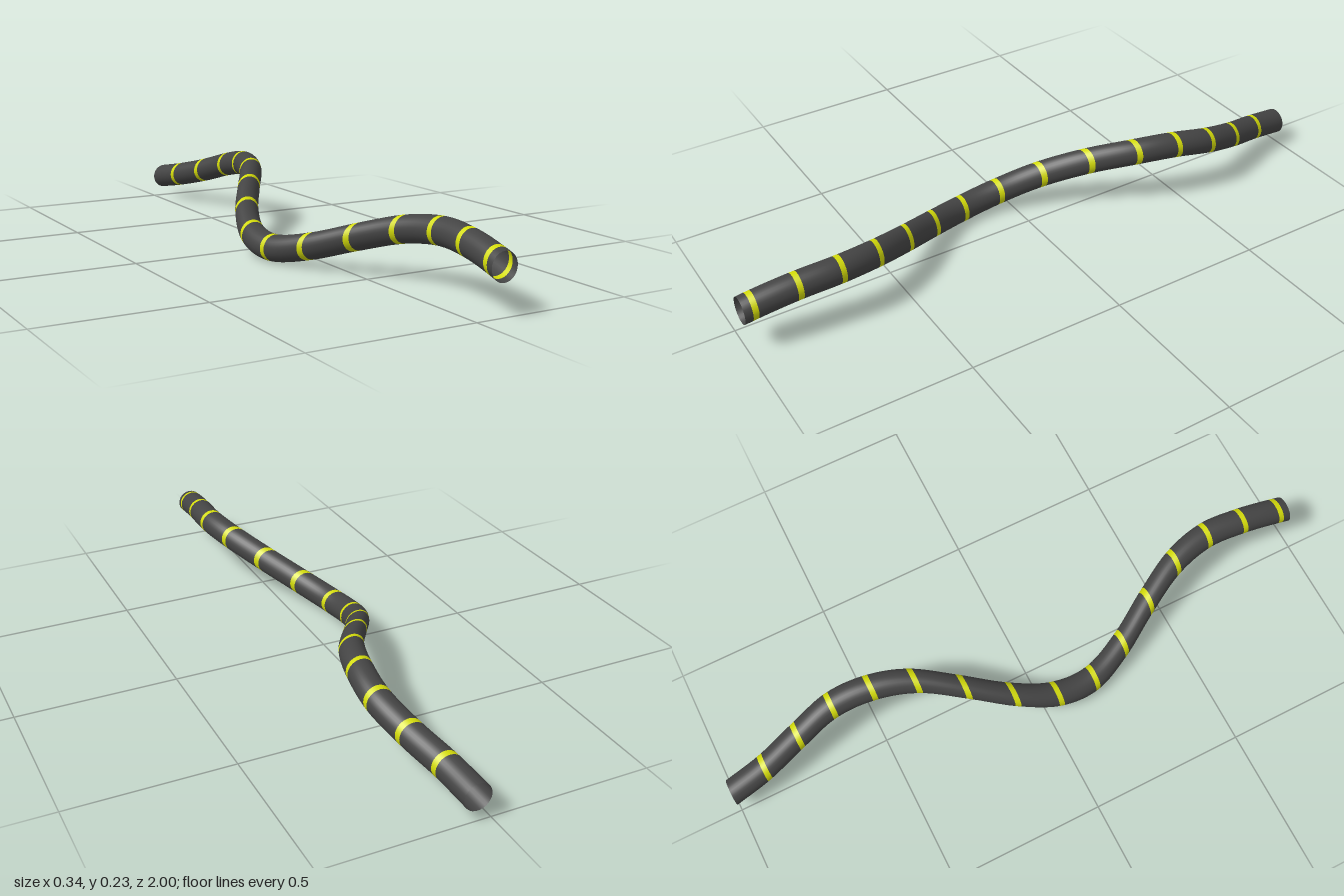
import * as THREE from 'three';

const RADIUS = 0.042, SIDES = 32;
const FIRST = 0.968, PITCH = 0.1317, STRIPES = 15, HALF_BAND = 0.0085;

// Centre line [x, y], one knot per stripe plus one beyond each end, evenly spaced in z
const knots = [
  [0.072, 0.108], [0.087, 0.141], [0.1, 0.163], [0.104, 0.169], [0.072, 0.152], [0.005, 0.112],
  [-0.072, 0.067], [-0.125, 0.042], [-0.125, 0.059], [-0.077, 0.105], [0.0, 0.153], [0.077, 0.185],
  [0.117, 0.19], [0.127, 0.168], [0.098, 0.13], [0.062, 0.098], [0.041, 0.073],
];
const path = new THREE.CatmullRomCurve3(
  knots.map(([x, y], i) => new THREE.Vector3(x, y, FIRST - PITCH * (i - 1))), false, 'catmullrom', 0.5);
const centre = z => path.getPoint((FIRST + PITCH - z) / (PITCH * (knots.length - 1)));

// Open tube section between two depths, with upright circular rings and smooth normals
function section(z0, z1, steps) {
  const pos = [], nor = [], idx = [], row = SIDES + 1, e = 0.002;
  for (let i = 0; i <= steps; i++) {
    const z = z0 + (z1 - z0) * i / steps;
    const c = centre(z), a = centre(z + e), b = centre(z - e);
    const dx = (a.x - b.x) / (2 * e), dy = (a.y - b.y) / (2 * e);
    for (let j = 0; j <= SIDES; j++) {
      const t = j / SIDES * Math.PI * 2, cx = Math.cos(t), cy = Math.sin(t);
      const n = new THREE.Vector3(cx, cy, -(cx * dx + cy * dy)).normalize();
      pos.push(c.x + RADIUS * cx, c.y + RADIUS * cy, z);
      nor.push(n.x, n.y, n.z);
      if (i < steps && j < SIDES) {
        const p = i * row + j, q = p + row;
        idx.push(p, q, p + 1, q, q + 1, p + 1);
      }
    }
  }
  const g = new THREE.BufferGeometry();
  g.setAttribute('position', new THREE.Float32BufferAttribute(pos, 3));
  g.setAttribute('normal', new THREE.Float32BufferAttribute(nor, 3));
  g.setIndex(idx);
  return g;
}

export function createModel() {
  const group = new THREE.Group();
  group.name = 'stripedHose';
  const dark = new THREE.MeshStandardMaterial({ color: 0x444444, side: THREE.DoubleSide });
  const yellow = new THREE.MeshStandardMaterial({ color: 0xd4dc0a, side: THREE.DoubleSide });
  const add = (name, z0, z1, steps, material) => {
    const mesh = new THREE.Mesh(section(z0, z1, steps), material);
    mesh.name = name;
    group.add(mesh);
  };

  // Alternate dark hose lengths and yellow bands from front to back
  let z = 1;
  for (let i = 0; i < STRIPES; i++) {
    const mid = FIRST - PITCH * i;
    add('hoseSection', z, mid + HALF_BAND, 8, dark);
    add('yellowBand', mid + HALF_BAND, mid - HALF_BAND, 2, yellow);
    z = mid - HALF_BAND;
  }
  add('hoseSection', z, -1, 8, dark);
  return group;
}
